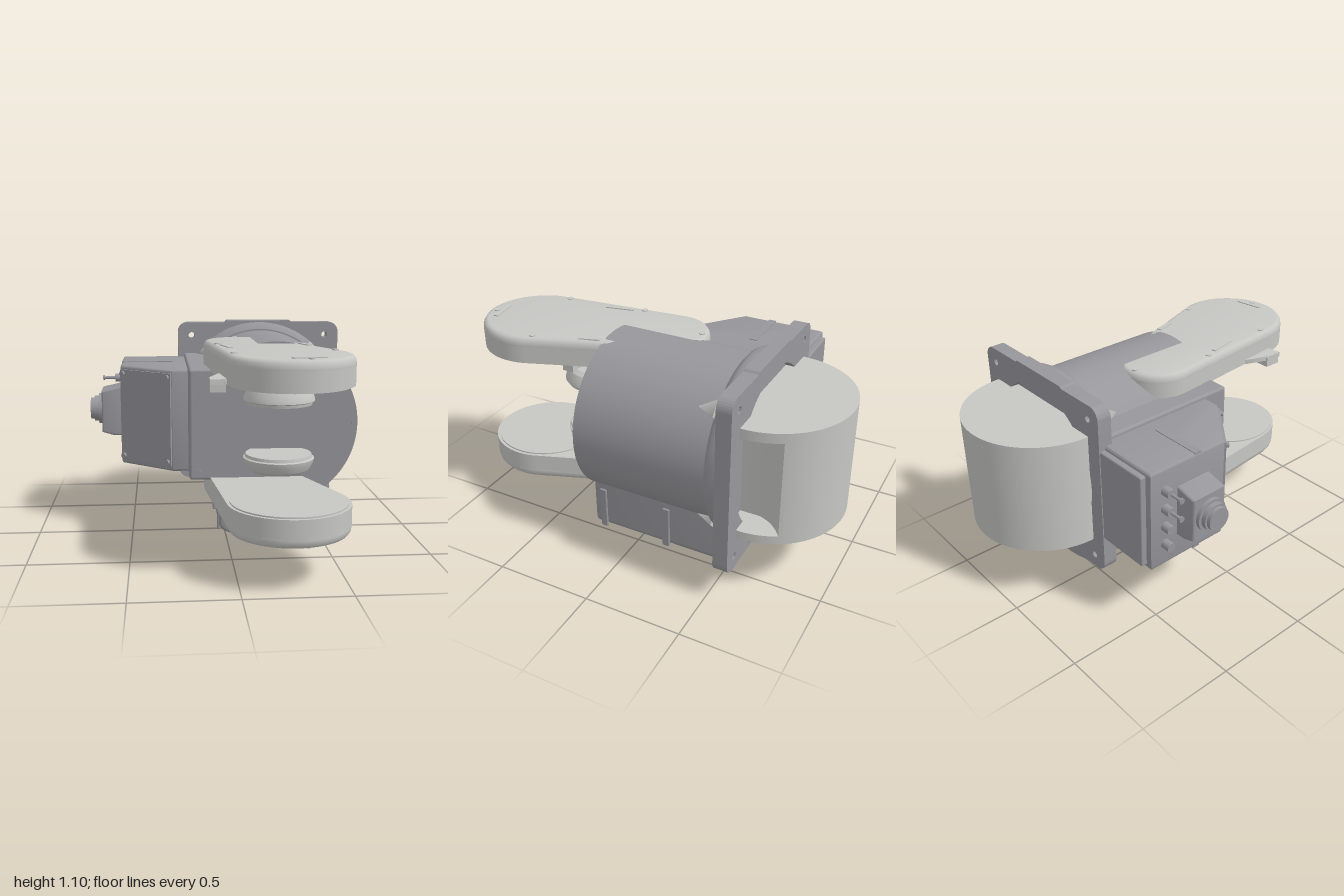
import * as THREE from 'three';
import { toCreasedNormals } from 'three/addons/utils/BufferGeometryUtils.js';
import { RoundedBoxGeometry } from 'three/addons/geometries/RoundedBoxGeometry.js';

const CX = 0.245, CY = 0.63; // drum axis

export function createModel() {
  const model = new THREE.Group();
  const body = new THREE.MeshStandardMaterial({ color: 0x98979c });
  body.name = 'mid grey';
  const light = new THREE.MeshStandardMaterial({ color: 0xc6c6c3 });
  light.name = 'light grey';

  const add = (name, geo, mat, x = 0, y = 0, z = 0) => {
    const m = new THREE.Mesh(geo, mat);
    m.name = name;
    m.position.set(x, y, z);
    model.add(m);
    return m;
  };
  const box = (name, mat, x0, x1, y0, y1, z0, z1, r = 0) => add(name,
    r ? new RoundedBoxGeometry(x1 - x0, y1 - y0, z1 - z0, 3, r) : new THREE.BoxGeometry(x1 - x0, y1 - y0, z1 - z0),
    mat, (x0 + x1) / 2, (y0 + y1) / 2, (z0 + z1) / 2);
  // Extrude an outline with a bevel that stays inside the outline
  const extrude = (shape, depth, bevel = 0, thick = bevel) => toCreasedNormals(new THREE.ExtrudeGeometry(shape, {
    depth: depth - 2 * thick, bevelEnabled: bevel > 0, bevelSize: bevel, bevelThickness: thick,
    bevelOffset: -bevel, bevelSegments: 3, curveSegments: 40,
  }).translate(0, 0, thick), 0.6);
  const alongZ = (name, mat, shape, z0, z1, bevel) => add(name, extrude(shape, z1 - z0, bevel), mat, 0, 0, z0);
  // Outline given as (x, z), extruded vertically
  const alongY = (name, mat, shape, y0, y1, bevel, thick) =>
    add(name, extrude(shape, y1 - y0, bevel, thick).rotateX(Math.PI / 2), mat, 0, y1, 0);
  const poly = pts => new THREE.Shape(pts.map(p => new THREE.Vector2(...p)));
  const disc = (name, mat, r0, r1, x0, x1, y, z, seg = 32) => add(name,
    new THREE.CylinderGeometry(r0, r1, x1 - x0, seg).rotateZ(Math.PI / 2), mat, (x0 + x1) / 2, y, z);

  // Main drum
  add('drum', new THREE.CylinderGeometry(0.422, 0.422, 0.81, 96).rotateX(Math.PI / 2), body, CX, CY, -0.155);
  add('drumPin', new THREE.CylinderGeometry(0.012, 0.012, 0.012, 16).rotateX(Math.PI / 2), body, 0.645, CY, 0.252);

  // Mounting flange with round opening and bolt holes
  const plate = new THREE.Shape();
  const [l, r, b, t, c] = [-0.23, 0.72, 0.16, 1.095, 0.06];
  plate.absarc(r - c, t - c, c, 0, Math.PI / 2);
  plate.lineTo(0.44, t); plate.lineTo(0.43, 1.105); plate.lineTo(0.06, 1.105); plate.lineTo(0.05, t);
  plate.absarc(l + c, t - c, c, Math.PI / 2, Math.PI);
  plate.absarc(l + c, b + c, c, Math.PI, Math.PI * 1.5);
  plate.absarc(r - c, b + c, c, Math.PI * 1.5, Math.PI * 2);
  const hole = (x, y, rad) => plate.holes.push(new THREE.Path().absarc(x, y, rad, 0, Math.PI * 2, true));
  for (const x of [-0.15, 0.64]) for (const y of [0.23, 1.02]) hole(x, y, 0.018);
  hole(CX, CY, 0.4);
  alongZ('flangePlate', body, plate, -0.605, -0.53);
  const ring = [[0.4, 0], [0.465, 0], [0.465, 0.045], [0.45, 0.07], [0.43, 0.085], [0.4, 0.085]];
  add('flangeRing', toCreasedNormals(new THREE.LatheGeometry(ring.map(p => new THREE.Vector2(...p)), 80)
    .rotateX(Math.PI / 2), 0.6), body, CX, CY, -0.54);
  for (let i = 0; i < 4; i++) {
    const a = Math.PI / 4 + i * Math.PI / 2;
    add('gusset', new THREE.ConeGeometry(0.06, 0.1, 4).toNonIndexed().rotateX(Math.PI / 2), light,
      CX + 0.42 * Math.cos(a), CY + 0.42 * Math.sin(a), -0.41);
  }

  // Rear wrist: two round caps with a body hollowed on its left side
  const R = 0.39, ZB = -0.608;
  const half = new THREE.Shape();
  half.absarc(0.24, ZB, R, Math.PI, Math.PI * 2);
  half.lineTo(0.55, -0.54); half.lineTo(-0.07, -0.54);
  const hollow = new THREE.Shape();
  hollow.absarc(0.24, ZB, R, Math.PI, Math.PI * 2 - 0.5);
  hollow.quadraticCurveTo(0.5, -0.74, 0.48, -0.66);
  hollow.lineTo(0.48, -0.54); hollow.lineTo(-0.07, -0.54);
  alongY('wristCapTop', light, half, 0.875, 0.925);
  alongY('wristCapBottom', light, half, 0.33, 0.375);
  alongY('wristBody', light, hollow, 0.37, 0.88);

  // Side housing, its block and cover panels
  alongY('sideHousing', body, poly([[-0.553, -0.57], [-0.15, -0.57], [-0.15, 0.105], [-0.28, 0.105], [-0.553, -0.115]]),
    0.355, 0.895, 0.015);
  box('housingBlock', body, -0.197, 0.2, 0.342, 0.915, -0.56, 0.245, 0.015);
  box('backCover', body, -0.52, -0.22, 0.375, 0.875, -0.6, -0.56, 0.008);
  const panel = new THREE.Group();
  panel.name = 'frontCover';
  panel.position.set(-0.417, 0.63, -0.002);
  panel.rotation.y = -0.678;
  panel.add(new THREE.Mesh(new THREE.BoxGeometry(0.34, 0.49, 0.016), body));
  for (const sx of [-1, 1]) for (const sy of [-1, 1]) {
    const s = new THREE.Mesh(new THREE.CylinderGeometry(0.014, 0.014, 0.02, 12).rotateX(Math.PI / 2), body);
    s.name = 'coverScrew';
    s.position.set(sx * 0.15, sy * 0.225, 0.012);
    panel.add(s);
  }
  model.add(panel);
  for (const y of [0.38, 0.87]) {
    add('blockBolt', new THREE.CylinderGeometry(0.02, 0.02, 0.01, 6).rotateX(Math.PI / 2), body, -0.15, y, 0.248);
  }
  for (const y of [0.893, 0.357]) box('housingRib', body, -0.55, -0.27, y - 0.006, y + 0.006, -0.3, -0.26);

  // Side connector and small plugs
  alongZ('connectorBase', body, poly([[-0.54, 0.49], [-0.54, 0.77], [-0.6, 0.755], [-0.665, 0.74],
    [-0.665, 0.51], [-0.6, 0.49]]), -0.41, -0.21, 0.01);
  disc('connectorNeck', body, 0.085, 0.085, -0.685, -0.65, 0.63, -0.31);
  disc('connectorRing', body, 0.07, 0.07, -0.71, -0.68, 0.63, -0.31);
  disc('connectorTip', body, 0.06, 0.06, -0.73, -0.7, 0.63, -0.31);
  for (const y of [0.48, 0.58, 0.68, 0.78]) {
    disc('plugBase', body, 0.024, 0.024, -0.6, -0.54, y, -0.485, 16);
    if (y < 0.6) continue;
    disc('plugStem', body, 0.008, 0.008, -0.665, -0.6, y, -0.485, 10);
    disc('plugHead', body, 0.015, 0.015, -0.67, -0.66, y, -0.485, 12);
  }

  // Lower housing with a curved underside
  const tray = new THREE.Shape();
  tray.moveTo(-0.043, 0.4); tray.lineTo(-0.043, 0.1);
  tray.quadraticCurveTo(-0.04, 0.07, 0.0, 0.055);
  tray.quadraticCurveTo(CX, -0.05, 0.49, 0.055);
  tray.quadraticCurveTo(0.53, 0.07, 0.533, 0.1);
  tray.lineTo(0.533, 0.4);
  alongZ('lowerHousing', body, tray, -0.535, 0.235, 0.015);
  for (const x of [-0.043, 0.533]) for (const z of [0.18, -0.185]) {
    box('housingStrip', body, x - 0.008, x + 0.008, 0.06, 0.29, z - 0.02, z + 0.02, 0.007);
  }
  box('lowerRearBlock', body, 0.02, 0.47, 0.1, 0.24, -0.57, -0.5, 0.01);
  for (const y of [0.2, 0.25, 0.3]) box('rearRib', body, 0.02, 0.47, y - 0.008, y + 0.008, -0.613, -0.59);

  // Paired arm plates, tapering back into the drum
  const [ax, az, ar, bx, bz, br] = [0.09, 0.02, 0.2, CX, 0.708, 0.29];
  const base = Math.atan2(bz - az, bx - ax);
  const phi = Math.acos((ar - br) / Math.hypot(bx - ax, bz - az));
  const arm = new THREE.Shape();
  arm.absarc(bx, bz, br, base - phi, base + phi);
  arm.absarc(ax, az, ar, base + phi, base - phi + Math.PI * 2);
  for (const s of [1, -1]) {
    const side = s > 0 ? 'upper' : 'lower';
    const span = (a, d) => [Math.min(CY + s * a, CY + s * d), Math.max(CY + s * a, CY + s * d)];
    alongY(side + 'Arm', light, arm, ...span(0.275, 0.37));
    alongY(side + 'ArmCrown', light, arm, ...span(0.33, 0.411), 0.025, 0.035);
    const rim = span(0.268, 0.28);
    add(side + 'ArmPad', new THREE.CylinderGeometry(0.275, 0.275, rim[1] - rim[0], 64), light, bx, (rim[0] + rim[1]) / 2, bz);
    // Screws and raised strips on the outer face
    for (const [x, z] of [[0.065, -0.145], [-0.055, 0.25], [-0.01, 0.69], [0.47, 0.59], [0.295, 0.945]]) {
      add('armScrew', new THREE.CylinderGeometry(0.016, 0.016, 0.012, 16), light, x, CY + s * 0.41, z);
    }
    for (const [x, z, a, len] of [[0.29, 0.912, 0.15, 0.15], [-0.02, 0.38, 1.77, 0.15], [0.375, 0.32, 1.87, 0.11]]) {
      add('armStrip', new THREE.BoxGeometry(len, 0.012, 0.025), light, x, CY + s * 0.41, z).rotation.y = a;
    }
    // Facing pads projecting from the drum face
    const prof = [[0, 0.125], [0.165, 0.125], [0.168, 0.14], [0.178, 0.145], [0.174, 0.165], [0.155, 0.2], [0.13, 0.216], [0, 0.222]];
    const pts = prof.map(([pr, py]) => new THREE.Vector2(pr, s * py));
    if (s < 0) pts.reverse();
    add(side + 'Pad', toCreasedNormals(new THREE.LatheGeometry(pts, 48), 0.5), light, CX, CY, 0.352);
  }

  // Small bracket beside the upper arm
  alongY('armBracket', light, poly([[0.0, 0.45], [0.0, 0.72], [-0.12, 0.74], [-0.12, 0.66], [-0.07, 0.53]]), 0.905, 0.93);
  box('bracketBlock', light, -0.12, -0.05, 0.87, 0.925, 0.64, 0.73);
  box('armTab', light, 0.36, 0.43, 0.865, 0.91, 0.39, 0.45);
  box('armRail', light, -0.02, 0.4, 0.885, 0.91, 0.42, 0.6);
  return model;
}
